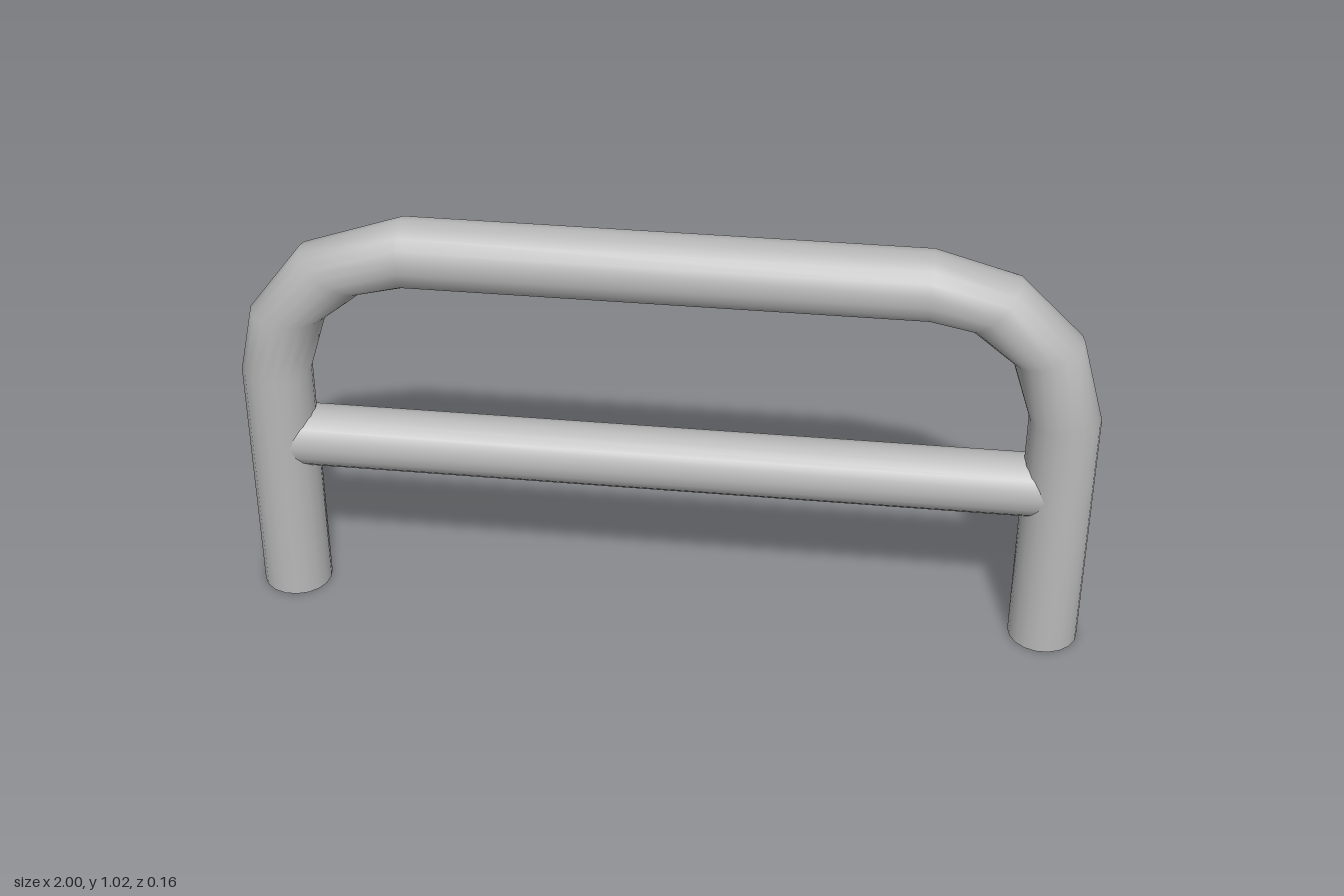
import * as THREE from 'three';

const R = 0.0825, SIDES = 18;

// Sweeps a round tube between an outer and an inner outline in the xy plane.
function bentTube(outline) {
  const pos = [], index = [];
  for (const [ox, oy, ix, iy] of outline) {
    for (let j = 0; j < SIDES; j++) {
      const a = (j / SIDES) * Math.PI * 2, c = Math.cos(a);
      pos.push((ox + ix) / 2 + ((ox - ix) / 2) * c, (oy + iy) / 2 + ((oy - iy) / 2) * c, R * Math.sin(a));
    }
  }
  for (let i = 0; i < outline.length - 1; i++) {
    for (let j = 0; j < SIDES; j++) {
      const k = (j + 1) % SIDES, p = i * SIDES, q = p + SIDES;
      index.push(p + j, p + k, q + k, p + j, q + k, q + j);
    }
  }
  const geo = new THREE.BufferGeometry();
  geo.setAttribute('position', new THREE.Float32BufferAttribute(pos, 3));
  geo.setIndex(index);
  geo.computeVertexNormals();
  return geo;
}

export function createModel() {
  const group = new THREE.Group();
  const metal = new THREE.MeshStandardMaterial({ color: 0xb8b8b8 });
  metal.name = 'grey metal';

  const add = (name, geo, x = 0, y = 0) => {
    const mesh = new THREE.Mesh(geo, metal);
    mesh.name = name;
    mesh.position.set(x, y, 0);
    group.add(mesh);
  };

  // Hoop: [outer x, outer y, inner x, inner y], from right foot to left foot
  add('hoop', bentTube([
    [-1, 0, -0.835, 0],
    [-1, 0.615, -0.835, 0.615],
    [-0.966, 0.772, -0.79, 0.76],
    [-0.838, 0.938, -0.695, 0.835],
    [-0.597, 1.022, -0.597, 0.857],
    [0.597, 1.022, 0.597, 0.857],
    [0.795, 0.965, 0.69, 0.84],
    [0.943, 0.82, 0.787, 0.763],
    [1, 0.615, 0.835, 0.615],
    [1, 0, 0.835, 0],
  ]));

  // Flat foot ends
  for (const s of [-1, 1]) {
    add(s < 0 ? 'rightFootCap' : 'leftFootCap', new THREE.CircleGeometry(R, SIDES).rotateX(Math.PI / 2), s * 0.9175);
  }

  // Crossbar running into the middle of both legs
  add('crossbar', new THREE.CylinderGeometry(0.075, 0.075, 1.835, SIDES).rotateZ(Math.PI / 2), 0, 0.425);
  return group;
}
